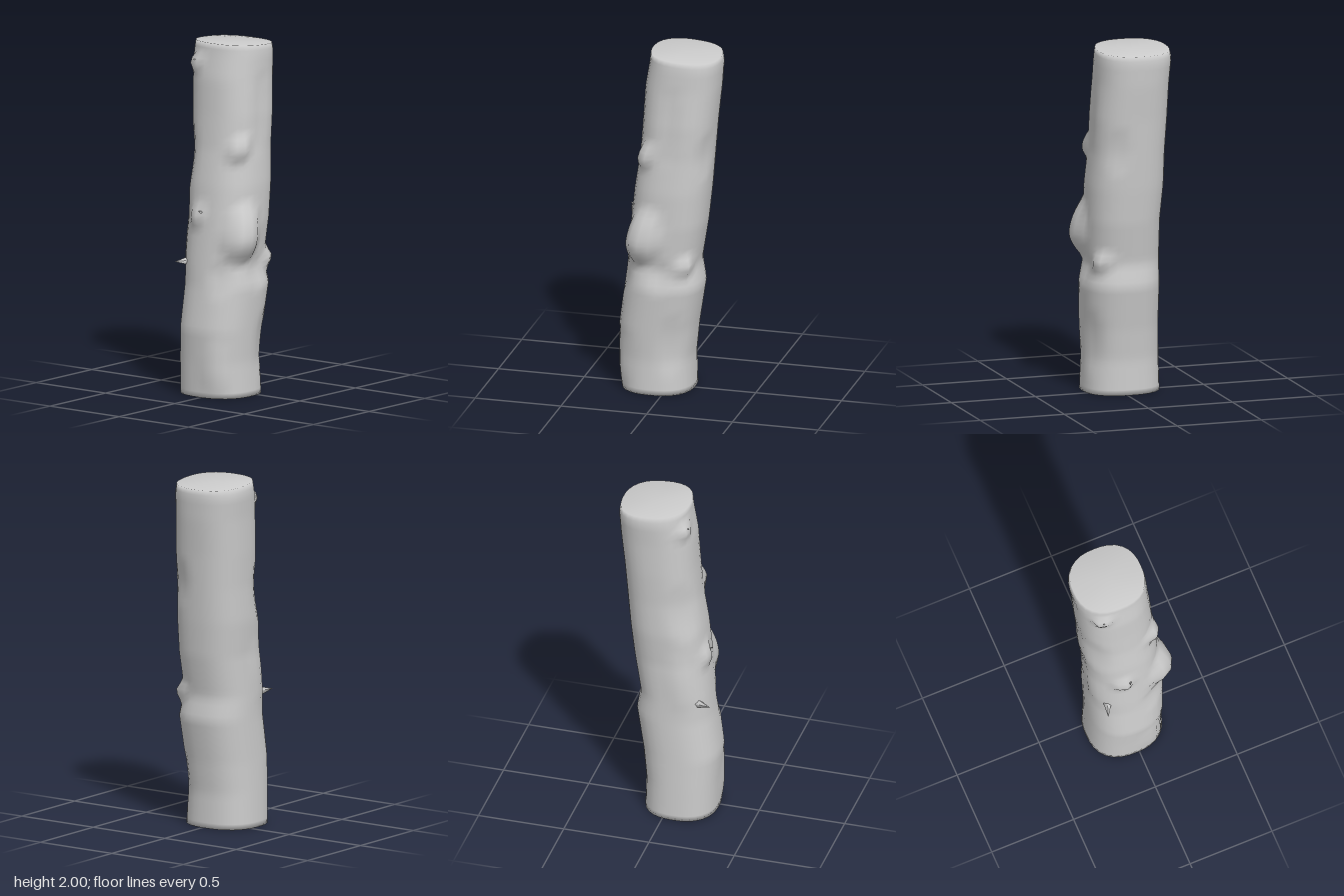
import * as THREE from 'three';

// Trunk sections: height, min x, max x, min z, max z
const SECTIONS = [
  [0, -0.27, 0.145, -0.24, 0.2],
  [0.2, -0.275, 0.14, -0.235, 0.19],
  [0.38, -0.285, 0.16, -0.23, 0.2],
  [0.63, -0.25, 0.2, -0.225, 0.215],
  [0.76, -0.238, 0.175, -0.225, 0.19],
  [1.0, -0.215, 0.215, -0.22, 0.2],
  [1.2, -0.195, 0.235, -0.235, 0.2],
  [1.4, -0.165, 0.25, -0.235, 0.185],
  [1.6, -0.15, 0.265, -0.245, 0.185],
  [1.8, -0.14, 0.285, -0.25, 0.17],
  [1.95, -0.115, 0.292, -0.26, 0.167],
  [2, -0.11, 0.285, -0.25, 0.16],
];

// Knots and hollows: angle (0 = +x, 90 = +z), height, push, angular width, reach below, reach above
const KNOTS = [
  [118, 0.9, 0.085, 32, 0.14, 0.22],
  [48, 0.77, 0.05, 18, 0.07, 0.06],
  [131, 1.4, 0.05, 18, 0.07, 0.1],
  [195, 1.02, 0.035, 16, 0.07, 0.09],
  [211, 1.88, 0.035, 16, 0.06, 0.06],
  [150, 0.15, 0.015, 25, 0.15, 0.2],
  [85, 0.72, -0.02, 22, 0.12, 0.08],
  [150, 0.7, -0.015, 20, 0.15, 0.08],
  [30, 1.42, -0.015, 20, 0.15, 0.15],
  [95, 1.6, -0.012, 20, 0.25, 0.25],
  [60, 0.3, -0.015, 20, 0.2, 0.2],
  [230, 1.35, -0.015, 25, 0.2, 0.2],
  [250, 0.9, 0.01, 25, 0.2, 0.2],
];

const SIDES = 32;
const ROWS = 64;

function sectionAt(y) {
  let i = 0;
  while (i < SECTIONS.length - 2 && SECTIONS[i + 1][0] < y) i++;
  const a = SECTIONS[i], b = SECTIONS[i + 1];
  const t = (y - a[0]) / (b[0] - a[0]);
  return a.map((v, k) => v + (b[k] - v) * t);
}

// A point on the bark: squarish oval plus knots
function barkPoint(angle, y) {
  const [, x0, x1, z0, z1] = sectionAt(y);
  const c = Math.cos(angle), s = Math.sin(angle), n = 2.45;
  const k = Math.pow(Math.abs(c) ** n + Math.abs(s) ** n, -1 / n);
  const degrees = THREE.MathUtils.radToDeg(angle);
  let push = 0;
  for (const [at, h, amount, width, below, above] of KNOTS) {
    const da = (((degrees - at + 540) % 360) - 180) / width;
    const dy = (y - h) / (y < h ? below : above);
    const d = Math.hypot(da, dy);
    if (d < 1) push += amount * (1 - d) * (1 + 0.6 * d);
  }
  return new THREE.Vector3(
    (x0 + x1) / 2 + c * (k * (x1 - x0) / 2 + push),
    y,
    (z0 + z1) / 2 + s * (k * (z1 - z0) / 2 + push)
  );
}

function trunkGeometry() {
  const pos = [], index = [];
  for (let r = 0; r <= ROWS; r++) {
    for (let j = 0; j < SIDES; j++) {
      const p = barkPoint((j / SIDES) * Math.PI * 2, (r / ROWS) * 2);
      // the sawn top slopes gently down towards +x
      if (p.y > 1.8) p.y -= 0.025 * ((p.x + 0.11) / 0.4) * (p.y - 1.8) / 0.2;
      pos.push(p.x, p.y, p.z);
    }
  }
  for (let r = 0; r < ROWS; r++) {
    for (let j = 0; j < SIDES; j++) {
      const a = r * SIDES + j, b = r * SIDES + (j + 1) % SIDES;
      index.push(a, a + SIDES, b, b, a + SIDES, b + SIDES);
    }
  }
  // End caps share the rim so the edges shade softly
  const [, bx0, bx1, bz0, bz1] = SECTIONS[0];
  const [, tx0, tx1, tz0, tz1] = SECTIONS[SECTIONS.length - 1];
  const bottom = pos.length / 3, top = bottom + 1, last = ROWS * SIDES;
  pos.push((bx0 + bx1) / 2, 0, (bz0 + bz1) / 2);
  pos.push((tx0 + tx1) / 2, 1.988, (tz0 + tz1) / 2);
  for (let j = 0; j < SIDES; j++) {
    const k = (j + 1) % SIDES;
    index.push(bottom, j, k, top, last + k, last + j);
  }
  const g = new THREE.BufferGeometry();
  g.setAttribute('position', new THREE.Float32BufferAttribute(pos, 3));
  g.setIndex(index);
  g.computeVertexNormals();
  return g;
}

export function createModel() {
  const group = new THREE.Group();
  group.name = 'log';
  const material = new THREE.MeshStandardMaterial({ color: 0xcccccc });

  const trunk = new THREE.Mesh(trunkGeometry(), material);
  trunk.name = 'trunk';
  group.add(trunk);

  // Twig stubs: tip position, direction, length, base radius
  const stubs = [
    [[-0.266, 0.755, -0.188], [-1, 0.05, -0.35], 0.11, 0.032],
    [[-0.24, 1.06, -0.04], [-1, 0.5, -0.2], 0.08, 0.03],
    [[-0.135, 1.9, -0.16], [-1, 0.4, -0.6], 0.08, 0.03],
  ];
  for (const [tip, dir, length, radius] of stubs) {
    const d = new THREE.Vector3(...dir).normalize();
    const stub = new THREE.Mesh(new THREE.ConeGeometry(radius, length, 5), material);
    stub.name = 'twigStub';
    stub.quaternion.setFromUnitVectors(new THREE.Vector3(0, 1, 0), d);
    stub.position.set(...tip).addScaledVector(d, -length / 2);
    group.add(stub);
  }
  return group;
}
